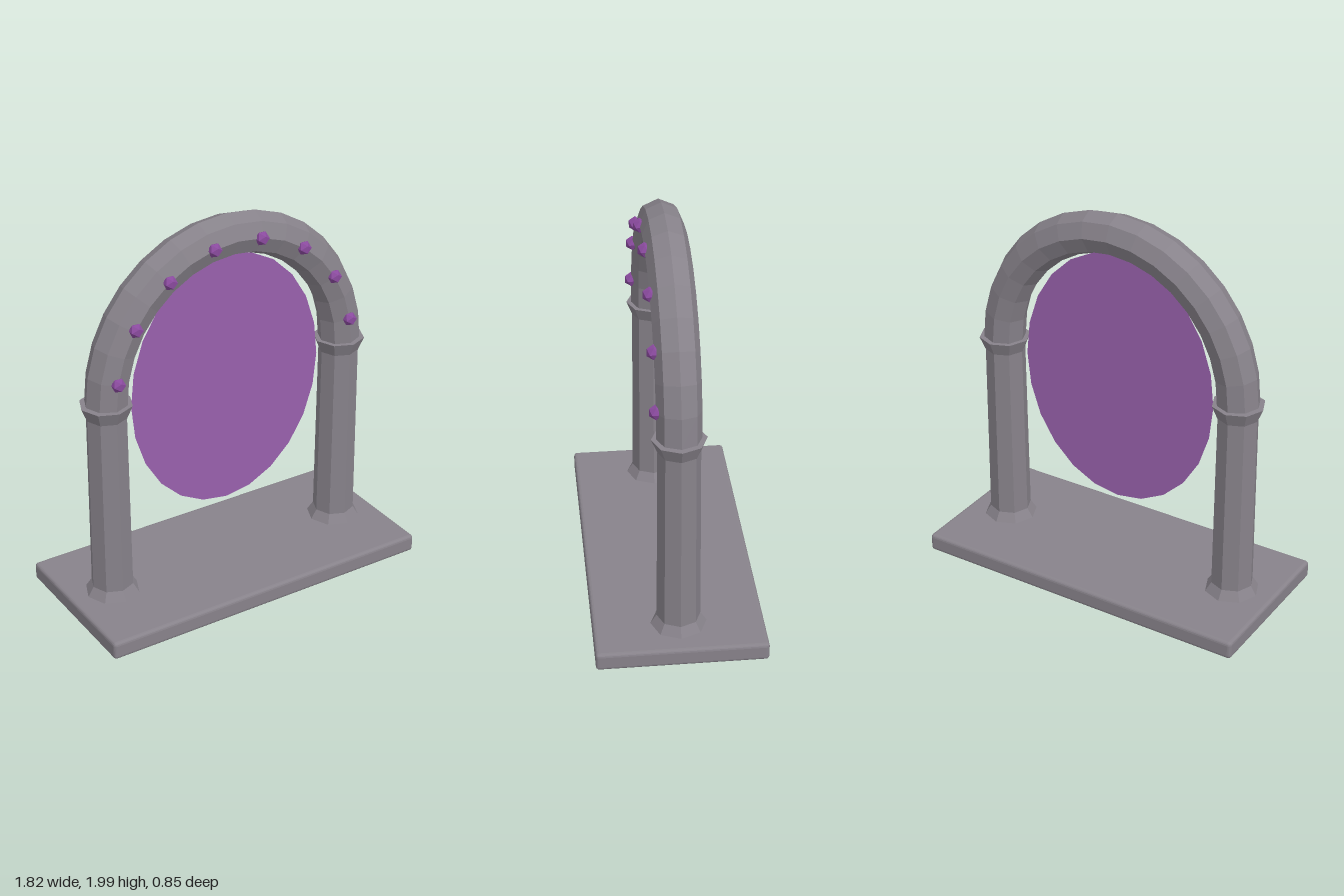
import * as THREE from 'three';
import { RoundedBoxGeometry } from 'three/addons/geometries/RoundedBoxGeometry.js';

const PILLAR_X = 0.683, SPRING_Y = 1.17, ARCH_RISE = 0.72;

function material(name, color, options = {}) {
  const m = new THREE.MeshStandardMaterial({ color, ...options });
  m.name = name;
  return m;
}

function add(parent, name, geometry, mat, x = 0, y = 0, z = 0) {
  const mesh = new THREE.Mesh(geometry, mat);
  mesh.name = name;
  mesh.position.set(x, y, z);
  parent.add(mesh);
  return mesh;
}

// Point on the half-elliptical centre line of the arch
const archPoint = (a, z = 0) =>
  new THREE.Vector3(PILLAR_X * Math.cos(a), SPRING_Y + ARCH_RISE * Math.sin(a), z);

// Eight-sided drum standing between two heights
function drum(parent, name, mat, bottomY, topY, bottomR, topR) {
  const h = topY - bottomY;
  return add(parent, name, new THREE.CylinderGeometry(topR, bottomR, h, 8), mat, 0, bottomY + h / 2, 0);
}

export function createModel() {
  const model = new THREE.Group();
  model.name = 'portalArch';
  const stone = material('stone', 0x87828a, { flatShading: true });
  const crystal = material('crystal', 0x8a4a9e, { flatShading: true });
  const veil = material('portalVeil', 0x9860ac, { side: THREE.DoubleSide });

  // Plinth with softened edges
  add(model, 'plinth', new RoundedBoxGeometry(1.82, 0.095, 0.85, 2, 0.018), stone, 0, 0.0525, 0);

  // Pillars with flared foot and collar
  for (const side of [1, -1]) {
    const pillar = new THREE.Group();
    pillar.name = side > 0 ? 'leftPillar' : 'rightPillar';
    pillar.position.x = side * PILLAR_X;
    drum(pillar, 'foot', stone, 0.095, 0.15, 0.143, 0.108);
    drum(pillar, 'shaft', stone, 0.12, 1.12, 0.109, 0.103);
    drum(pillar, 'collar', stone, 1.1, SPRING_Y, 0.104, 0.133);
    model.add(pillar);
  }

  // Octagonal arch band
  const points = Array.from({ length: 33 }, (_, i) => archPoint((i / 32) * Math.PI));
  const path = new THREE.CatmullRomCurve3(points);
  add(model, 'arch', new THREE.TubeGeometry(path, 16, 0.108, 8, false), stone);

  // Crystals set into the front of the arch
  const gem = new THREE.IcosahedronGeometry(0.037, 0);
  for (let i = 0; i < 8; i++) {
    const p = archPoint(((i + 0.5) / 8) * Math.PI, 0.108);
    add(model, 'crystal' + (i + 1), gem, crystal, p.x, p.y, p.z);
  }

  // Oval veil hanging in the opening
  add(model, 'portalVeil', new THREE.CircleGeometry(1, 24), veil, 0, 1.105, 0).scale.set(0.546, 0.68, 1);

  return model;
}
